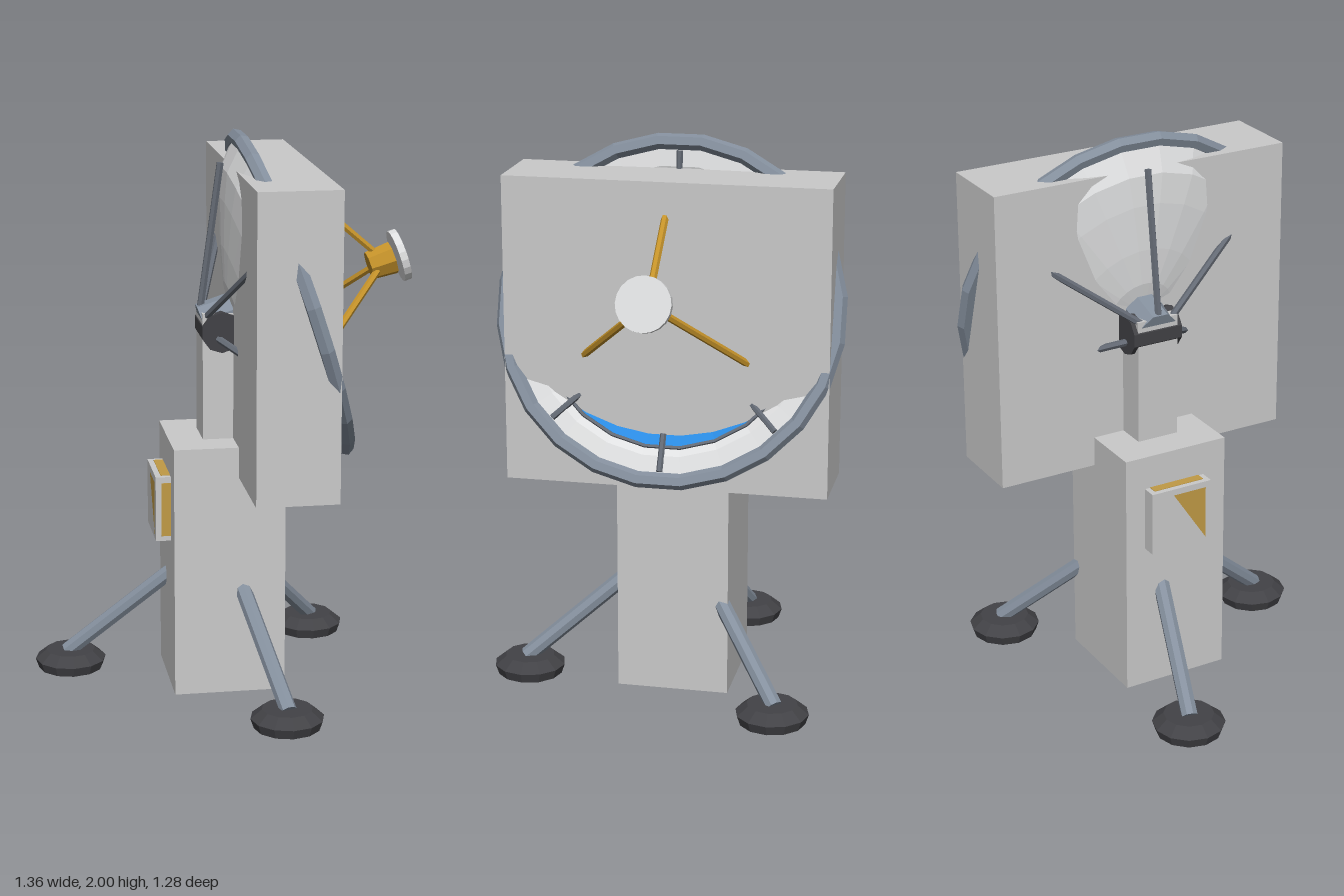
import * as THREE from 'three';

export function createModel() {
  const model = new THREE.Group();
  model.name = 'dishStation';
  const mat = (name, color, side = THREE.FrontSide) =>
    new THREE.MeshStandardMaterial({ name, color, flatShading: true, side });
  const casing = mat('casing grey', 0xcacaca);
  const shell = mat('dish white', 0xdedfe0, THREE.DoubleSide);
  const slate = mat('slate metal', 0x85909e);
  const dark = mat('dark strut metal', 0x646a74);
  const rubber = mat('charcoal', 0x424246);
  const gold = mat('gold', 0xc4922a);
  const blue = mat('blue reflector', 0x2a8ae0, THREE.DoubleSide);
  const amber = mat('amber panel', 0xc09a45, THREE.DoubleSide);

  const V = (x, y, z) => new THREE.Vector3(x, y, z);
  const add = (parent, name, geo, material) => {
    const m = new THREE.Mesh(geo, material);
    m.name = name;
    parent.add(m);
    return m;
  };
  // box from its minimum and maximum corners
  const box = (name, a, b, material) => {
    const m = add(model, name, new THREE.BoxGeometry(b[0] - a[0], b[1] - a[1], b[2] - a[2]), material);
    m.position.set((a[0] + b[0]) / 2, (a[1] + b[1]) / 2, (a[2] + b[2]) / 2);
    return m;
  };
  // straight rod between two points
  const rod = (parent, name, a, b, r, material, sides = 6) => {
    const d = b.clone().sub(a);
    const m = add(parent, name, new THREE.CylinderGeometry(r, r, d.length(), sides), material);
    m.position.copy(a).add(b).multiplyScalar(0.5);
    m.quaternion.setFromUnitVectors(V(0, 1, 0), d.normalize());
    return m;
  };

  const CX = -0.006, CZ = -0.03;

  // Housings
  box('baseHousing', [-0.206, 0, -0.231], [0.193, 0.915, 0.17], casing);
  box('neck', [-0.085, 0.915, -0.112], [0.072, 1.37, 0.046], casing);
  box('dishHousing', [0.024, 0.806, -0.596], [0.314, 1.883, 0.536], casing);

  // Control panel on the back of the base
  box('controlBox', [-0.26, 0.555, -0.155], [-0.206, 0.792, 0.082], casing);
  box('panelSide', [-0.24, 0.573, 0.081], [-0.206, 0.77, 0.084], amber);
  box('panelTop', [-0.24, 0.791, -0.135], [-0.206, 0.794, 0.062], amber);
  const tri = new THREE.BufferGeometry().setFromPoints([
    V(-0.262, 0.77, -0.07), V(-0.262, 0.573, 0.06), V(-0.262, 0.77, 0.06)]);
  tri.computeVertexNormals();
  add(model, 'panelFace', tri, amber);

  // Three splayed legs with round feet
  for (let i = 0; i < 3; i++) {
    const a = THREE.MathUtils.degToRad(75 + i * 120);
    const at = (r, y) => V(CX + r * Math.cos(a), y, CZ + r * Math.sin(a));
    rod(model, 'leg', at(0.575, 0.06), at(0.14, 0.425), 0.03, slate, 8);
    add(model, 'footBase', new THREE.CylinderGeometry(0.13, 0.118, 0.035, 12), rubber)
      .position.copy(at(0.564, 0.0175));
    add(model, 'footTop', new THREE.CylinderGeometry(0.09, 0.13, 0.033, 12), rubber)
      .position.copy(at(0.564, 0.0515));
  }

  // Elevation pivot
  const pivot = add(model, 'pivot', new THREE.CylinderGeometry(0.073, 0.073, 0.19, 10), rubber);
  pivot.rotation.x = Math.PI / 2;
  pivot.position.set(-0.018, 1.305, -0.033);

  // Dish group: local +y is the dish axis, local -x points up
  const dish = new THREE.Group();
  dish.name = 'dish';
  dish.position.set(0.235, 1.42, CZ);
  dish.rotation.z = THREE.MathUtils.degToRad(-72);
  model.add(dish);
  const half = Math.PI / 24;
  const polar = (r, y, a) => V(-r * Math.cos(a), y, r * Math.sin(a));
  const lathe = (name, pts, material) => {
    add(dish, name, new THREE.LatheGeometry(pts.map(p => new THREE.Vector2(...p)), 24), material)
      .rotation.y = half;
  };
  const ring = (name, R, r, sides, y, material) => {
    const m = add(dish, name, new THREE.TorusGeometry(R, r, sides, 24).rotateX(Math.PI / 2), material);
    m.rotation.y = half;
    m.position.y = y;
  };
  lathe('dishLip', [[0.575, 0], [0.5, -0.008], [0.465, -0.03]], shell);
  lathe('reflector', [[0.465, -0.03], [0.42, -0.058], [0.3, -0.13], [0.15, -0.19], [0, -0.205]], blue);
  lathe('dishBack', [[0.58, -0.01], [0.5, -0.083], [0.4, -0.122], [0.244, -0.172], [0.12, -0.205], [0, -0.218]], shell);
  ring('rim', 0.585, 0.028, 6, 0, slate);
  ring('reflectorEdge', 0.469, 0.008, 5, -0.026, dark);

  // Short ribs across the lip
  for (let i = 0; i < 8; i++) {
    const a = i * Math.PI / 4;
    rod(dish, 'lipRib', polar(0.42, -0.025, a), polar(0.55, 0.002, a), 0.011, dark);
  }
  // Back hub and its six braces
  const hub = add(dish, 'hub', new THREE.CylinderGeometry(0.075, 0.075, 0.13, 8), slate);
  hub.rotation.y = Math.PI / 8;
  hub.position.y = -0.262;
  for (let i = 0; i < 6; i++) {
    const a = i * Math.PI / 3;
    rod(dish, 'backBrace', polar(0.058, -0.315, a), polar(0.525, -0.088, a), 0.013, dark);
  }

  // Feed horn with its cap
  const tilt = THREE.MathUtils.degToRad(-72);
  const horn = add(model, 'feedHorn', new THREE.CylinderGeometry(0.06, 0.052, 0.09, 8), gold);
  horn.position.set(0.568, 1.523, CZ);
  horn.rotation.z = tilt;
  const cap = add(model, 'feedCap', new THREE.CylinderGeometry(0.094, 0.094, 0.026, 20), shell);
  cap.position.set(0.634, 1.545, CZ);
  cap.rotation.z = tilt;

  // Tripod carrying the feed
  rod(model, 'feedStrut', V(0.56, 1.545, CZ), V(0.29, 1.777, CZ), 0.013, gold);
  for (const s of [-1, 1])
    rod(model, 'feedStrut', V(0.55, 1.5, CZ + s * 0.035), V(0.29, 1.255, CZ + s * 0.3), 0.013, gold);

  return model;
}
